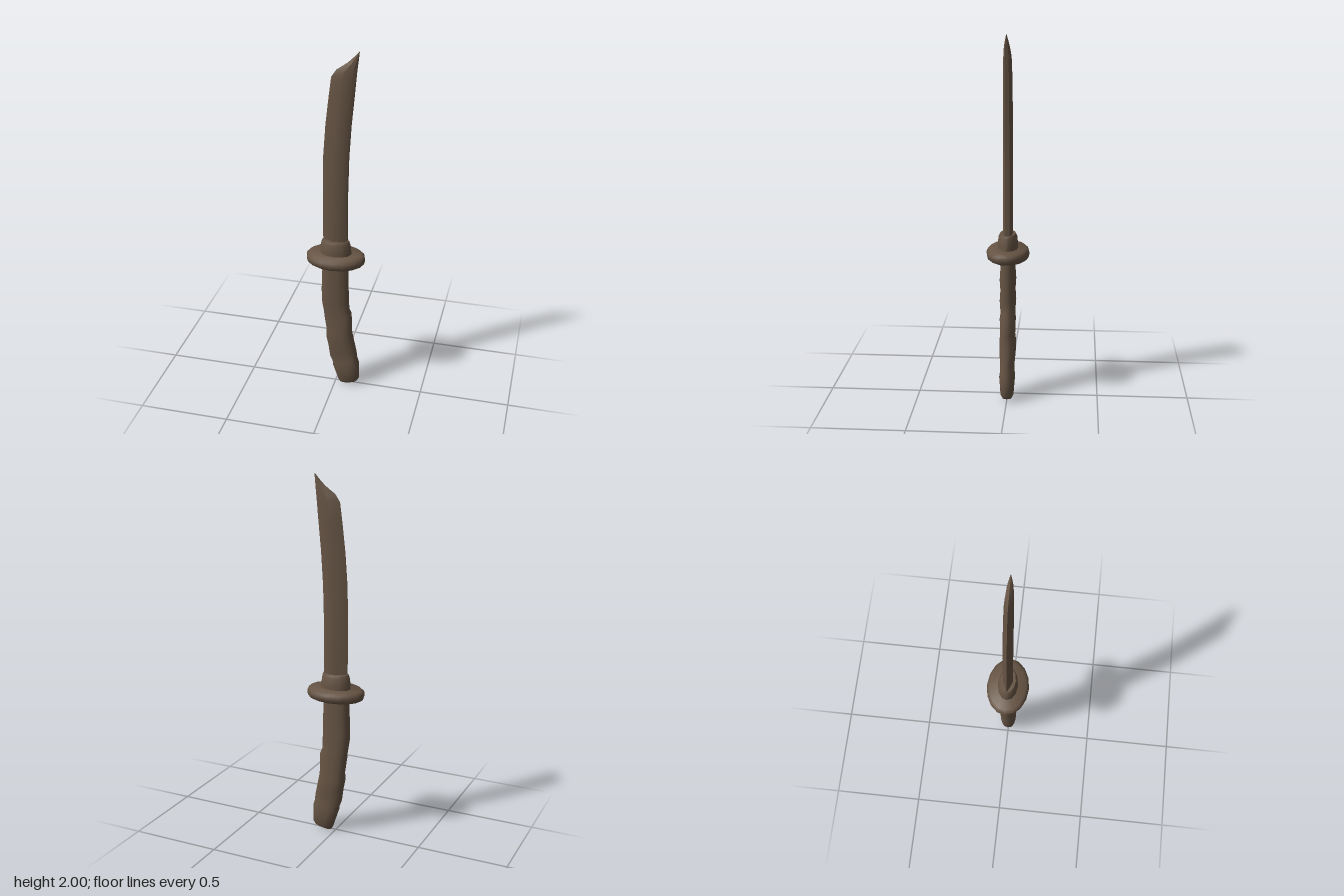
import * as THREE from 'three';
import { toCreasedNormals } from 'three/addons/utils/BufferGeometryUtils.js';

// Skin a stack of closed rings, listed bottom to top, each running from +x towards +z
function loft(rings, crease) {
  const n = rings[0].length, pos = rings.flat(2), index = [];
  for (let r = 0; r < rings.length - 1; r++) {
    for (let i = 0; i < n; i++) {
      const a = r * n + i, b = r * n + (i + 1) % n;
      index.push(a, a + n, b, b, a + n, b + n);
    }
  }
  const top = (rings.length - 1) * n;
  for (let i = 1; i < n - 1; i++) {
    index.push(0, i, i + 1, top, top + i + 1, top + i);
  }
  const g = new THREE.BufferGeometry();
  g.setAttribute('position', new THREE.Float32BufferAttribute(pos, 3));
  g.setIndex(index);
  return toCreasedNormals(g, crease);
}

// Oval ring between x = l and x = r, half depth d; tilt raises its right side
function oval(y, l, r, d, n, power = 1, tilt = 0) {
  const soft = (v) => Math.sign(v) * Math.pow(Math.abs(v), power);
  return Array.from({ length: n }, (_, i) => {
    const a = (i / n) * Math.PI * 2, c = soft(Math.cos(a));
    return [(l + r) / 2 + c * (r - l) / 2, y + tilt * c, soft(Math.sin(a)) * d];
  });
}

// Blade ring: sharp edge at l, thickest near the middle, narrow flat spine at r
function bladeRing([y, l, r, t]) {
  const w = r - l;
  return [
    [r, y, -t * 0.45], [r, y, t * 0.45], [r - w * 0.15, y, t * 0.85], [l + w * 0.45, y, t],
    [l, y, 0], [l + w * 0.45, y, -t], [r - w * 0.15, y, -t * 0.85],
  ];
}

export function createModel() {
  const wood = new THREE.MeshStandardMaterial({ color: 0x665444 });
  wood.name = 'dark brown';
  const model = new THREE.Group();
  model.name = 'sword';
  const add = (name, geometry) => {
    const mesh = new THREE.Mesh(geometry, wood);
    mesh.name = name;
    model.add(mesh);
  };

  // Curved blade with a slanted tip: y, edge x, spine x, half thickness
  add('blade', loft([
    [0.9, -0.07, 0.064, 0.027], [1.2, -0.071, 0.064, 0.027], [1.42, -0.068, 0.069, 0.027],
    [1.6, -0.055, 0.08, 0.026], [1.75, -0.038, 0.094, 0.025], [1.86, -0.024, 0.104, 0.023],
    [1.9, 0.003, 0.108, 0.02], [1.94, 0.06, 0.113, 0.015], [1.97, 0.091, 0.117, 0.009],
    [2.0, 0.118, 0.121, 0.002],
  ].map(bladeRing), 0.5));

  // Collar around the foot of the blade
  add('collar', loft([
    [0.84, 0.088, 0.056], [0.875, 0.087, 0.055], [0.92, 0.08, 0.051], [0.935, 0.073, 0.043],
  ].map(([y, x, z]) => oval(y, -x, x, z, 12)), 0.8));

  // Oval guard with a rounded rim
  add('guard', loft([
    [0.797, 0.148, 0.102], [0.805, 0.159, 0.113], [0.825, 0.164, 0.117],
    [0.842, 0.161, 0.114], [0.855, 0.146, 0.1],
  ].map(([y, x, z]) => oval(y, -x, x, z, 16)), 0.8));

  // Bent, knobbly grip: y, left x, right x, half depth, tilt
  add('grip', loft([
    [0.015, 0.028, 0.128, 0.026, 0.01], [0.035, 0.016, 0.139, 0.036, 0.01],
    [0.09, -0.002, 0.137, 0.04, 0.01], [0.135, -0.017, 0.137, 0.044, 0.01],
    [0.16, -0.018, 0.128, 0.04, 0.015], [0.2, -0.035, 0.124, 0.039, 0.015],
    [0.27, -0.043, 0.108, 0.045, 0.015], [0.33, -0.055, 0.096, 0.046, 0.015],
    [0.37, -0.053, 0.094, 0.041, 0.01], [0.46, -0.066, 0.092, 0.044, 0.01],
    [0.49, -0.069, 0.079, 0.04, 0.01], [0.56, -0.081, 0.076, 0.045, 0],
    [0.62, -0.081, 0.074, 0.041, 0], [0.68, -0.08, 0.073, 0.045, 0],
    [0.74, -0.077, 0.071, 0.041, 0], [0.81, -0.081, 0.071, 0.043, 0],
  ].map(([y, l, r, d, tilt]) => oval(y - 0.005, l, r, d, 14, 0.8, tilt)), 0.9));

  return model;
}
